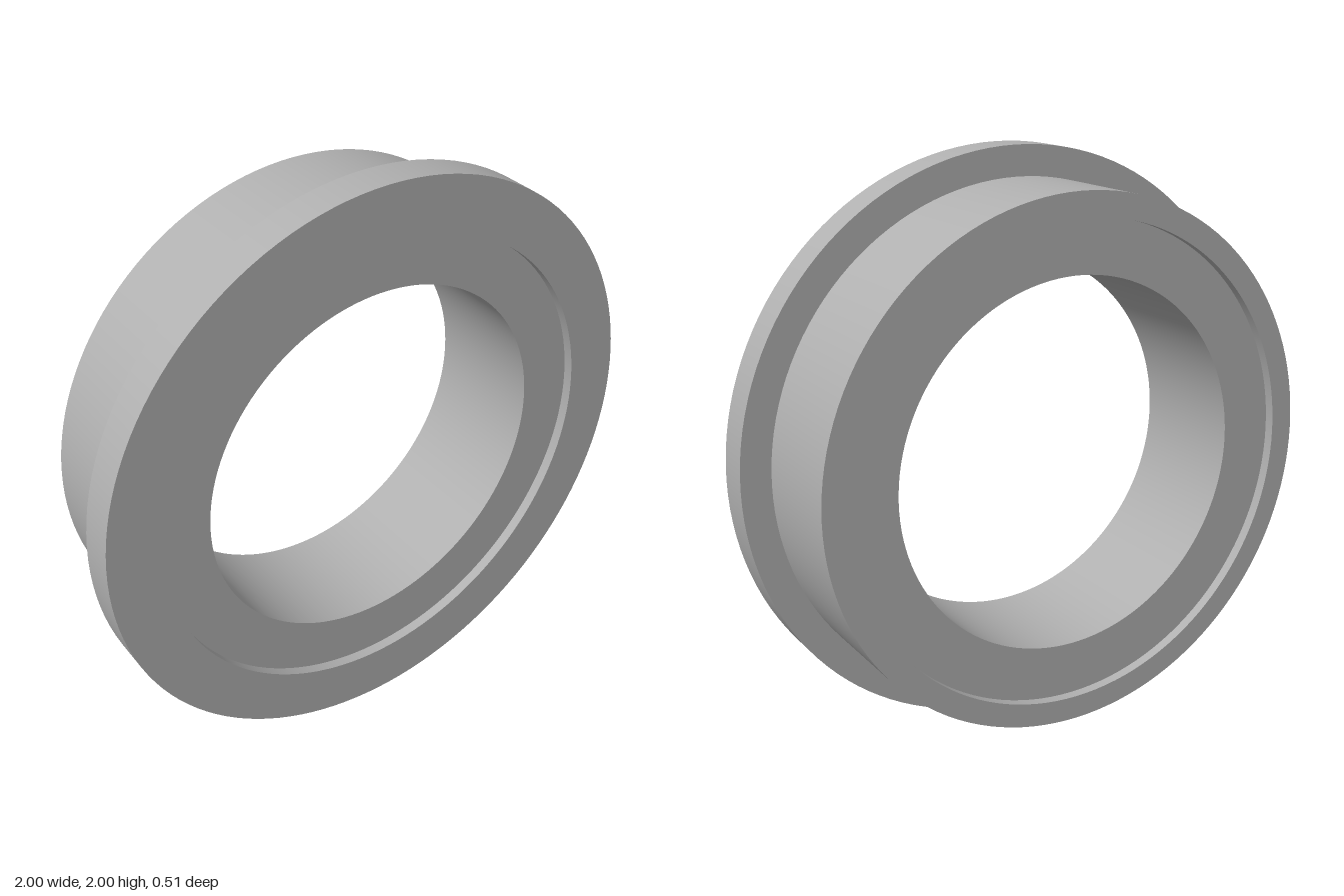
import * as THREE from 'three';
import { mergeGeometries } from 'three/addons/utils/BufferGeometryUtils.js';

const SEGMENTS = 128;

// Revolve a [radius, z] profile around z, one strip per edge so corners stay sharp
function revolve(profile) {
  const strips = [];
  for (let i = 0; i < profile.length - 1; i++) {
    const edge = [profile[i], profile[i + 1]].map(([r, z]) => new THREE.Vector2(r, z));
    strips.push(new THREE.LatheGeometry(edge, SEGMENTS));
  }
  return mergeGeometries(strips).rotateX(Math.PI / 2);
}

export function createModel() {
  const model = new THREE.Group();
  model.name = 'flangedBearing';
  const steel = new THREE.MeshStandardMaterial({ color: 0xb0b0b0 });
  steel.name = 'steelGrey';

  const half = 0.255;      // half the total depth
  const recess = 0.22;     // half depth of the sunken inner ring
  const seat = 0.815;      // radius where the two rings meet
  const bore = 0.63;
  const barrel = 0.897;
  const flangeBack = 0.13;

  const parts = {
    // Barrel with the wide flange at the front
    outerRing: [
      [seat, -recess], [seat, -half], [barrel, -half], [barrel, flangeBack],
      [1, flangeBack], [1, half], [seat, half], [seat, recess],
    ],
    // Slightly sunken ring around the bore
    innerRing: [[seat, recess], [bore, recess], [bore, -recess], [seat, -recess]],
  };

  for (const [name, profile] of Object.entries(parts)) {
    const mesh = new THREE.Mesh(revolve(profile), steel);
    mesh.name = name;
    mesh.position.y = 1;
    model.add(mesh);
  }
  return model;
}
